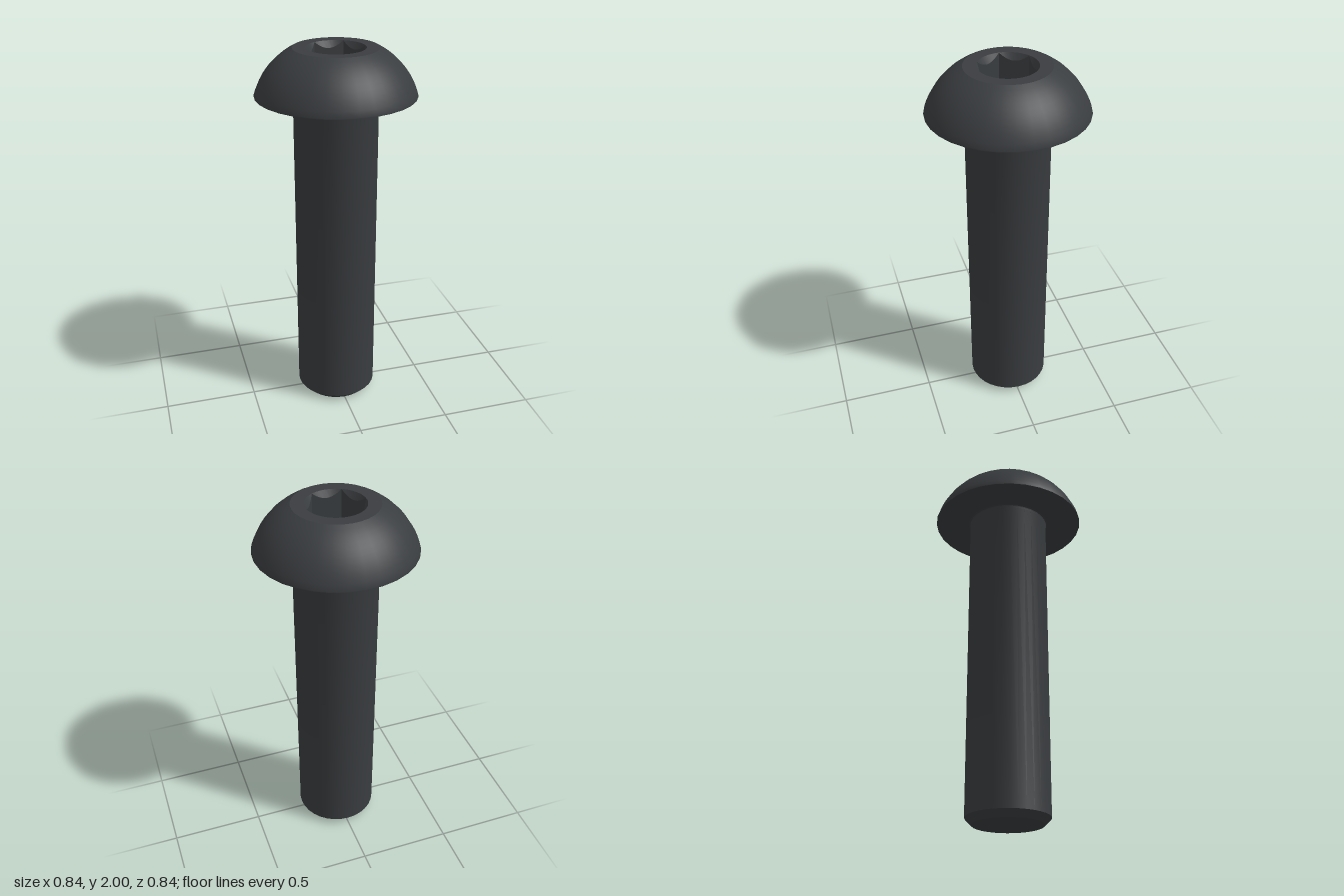
import * as THREE from 'three';
import { toCreasedNormals } from 'three/addons/utils/BufferGeometryUtils.js';

const SIDES = 32;
const HEAD_TOP = 2, HEAD_BASE = 1.76;
const FLAT_R = 0.22, SOCKET_R = 0.153, SOCKET_DEPTH = 0.16;

const material = new THREE.MeshStandardMaterial({ color: 0x3a3d40 });

function addPart(group, name, geometry) {
  const mesh = new THREE.Mesh(toCreasedNormals(geometry, 0.45), material);
  mesh.name = name;
  group.add(mesh);
}

function lathe(points) {
  return new THREE.LatheGeometry(points.map(([r, y]) => new THREE.Vector2(r, y)), SIDES);
}

// Distance from the centre to the edge of an n-sided polygon at angle t
function polygonRadius(t, radius, n, phase = 0) {
  const step = (2 * Math.PI) / n;
  const a = ((t + phase) % step) - step / 2;
  return (radius * Math.cos(step / 2)) / Math.cos(a);
}

// Flat rim, conical countersink, hexagonal walls and floor, as nested rings
function socketGeometry() {
  const hex = (t) => polygonRadius(t, SOCKET_R, 6, Math.PI / 6);
  const floor = HEAD_TOP - SOCKET_DEPTH;
  const rings = [
    (t) => [polygonRadius(t, FLAT_R, SIDES), HEAD_TOP],
    () => [SOCKET_R, HEAD_TOP],
    (t) => [hex(t), HEAD_TOP - 1.7 * (SOCKET_R - hex(t))],
    (t) => [hex(t), floor],
    () => [0, floor],
  ];
  const steps = 96, n = rings.length;
  const positions = [], index = [];
  for (let i = 0; i <= steps; i++) {
    const t = (i / steps) * 2 * Math.PI;
    for (const ring of rings) {
      const [r, y] = ring(t);
      positions.push(r * Math.sin(t), y, r * Math.cos(t));
    }
  }
  for (let i = 0; i < steps; i++) {
    for (let j = 0; j < n - 1; j++) {
      const a = i * n + j, b = a + n;
      index.push(a, b, a + 1, b + 1, a + 1, b);
    }
  }
  const geometry = new THREE.BufferGeometry();
  geometry.setAttribute('position', new THREE.Float32BufferAttribute(positions, 3));
  geometry.setIndex(index);
  return geometry;
}

export function createModel() {
  const bolt = new THREE.Group();
  bolt.name = 'buttonHeadBolt';

  // Shank with chamfered tip and a small fillet under the head
  addPart(bolt, 'shank', lathe([
    [0, 0], [0.185, 0], [0.22, 0.035], [0.22, 1.745], [0.223, 1.755], [0.231, HEAD_BASE],
  ]));

  // Domed head: flat underside, thin edge, then an arc up to the flat top
  const dome = [[0.225, HEAD_BASE], [0.418, HEAD_BASE]];
  const arcSteps = 10, start = 0.302, end = 1.097;
  for (let i = 0; i <= arcSteps; i++) {
    const a = start + ((end - start) * i) / arcSteps;
    dome.push([0.039 + 0.397 * Math.cos(a), 1.647 + 0.397 * Math.sin(a)]);
  }
  dome[dome.length - 1] = [FLAT_R, HEAD_TOP];
  addPart(bolt, 'head', lathe(dome));

  addPart(bolt, 'hexSocket', socketGeometry());
  return bolt;
}
